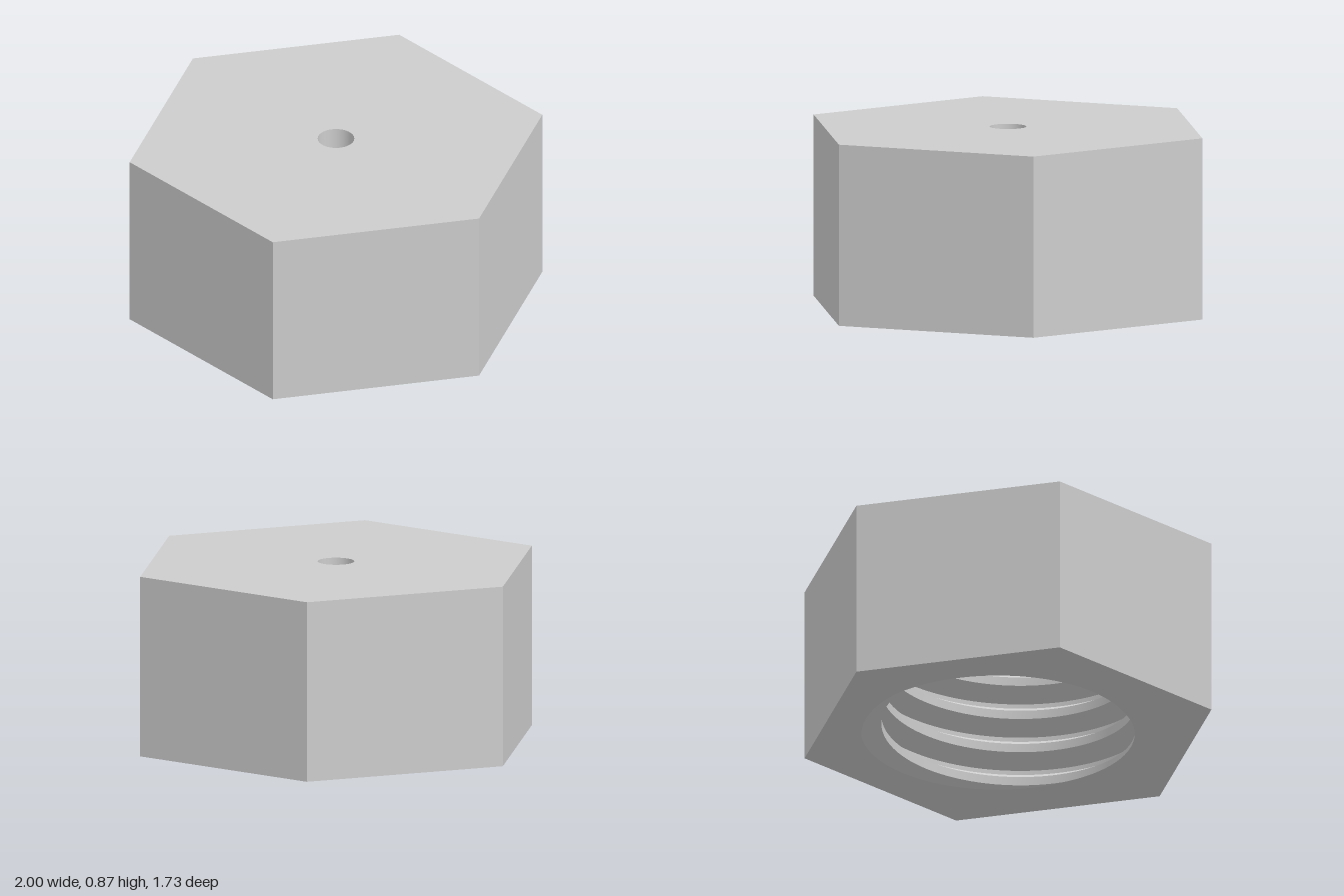
import * as THREE from 'three';
import { toCreasedNormals } from 'three/addons/utils/BufferGeometryUtils.js';

const HEIGHT = 0.866, DEPTH = 0.693;         // nut height, depth of the threaded bore
const BORE = 0.0866;                         // small through hole
const MAJOR = 0.693, PITCH = 0.1732, MINOR = MAJOR - 0.541 * PITCH;
const START = 0.13, PHASE = -130 * Math.PI / 180;
const SEG = 120;

// One pitch of the thread: [fraction of pitch, radius]
const PROFILE = [[0, MINOR], [0.25, MINOR], [0.5625, MAJOR], [0.6875, MAJOR], [1, MINOR]];

const lift = (t) => START + PITCH * (t - PHASE) / (2 * Math.PI);
const angle = (j) => j / SEG * Math.PI * 2;

// Thread radius at an angle and height
function threadRadius(t, y) {
  const turns = (y - lift(t)) / PITCH;
  const f = turns - Math.floor(turns);
  let i = 0;
  while (i < 3 && f > PROFILE[i + 1][0]) i++;
  const [f0, r0] = PROFILE[i], [f1, r1] = PROFILE[i + 1];
  return r0 + (r1 - r0) * (f - f0) / (f1 - f0);
}

// Helical wall whose rows follow the thread edges, clipped to the bore
function threadGeometry() {
  const rows = [], pos = [];
  for (let k = -6; k < 8; k++) {
    for (let i = 0; i < 4; i++) {
      const step = (PROFILE[i + 1][0] - PROFILE[i][0]) / 2;
      rows.push((k + PROFILE[i][0]) * PITCH, (k + PROFILE[i][0] + step) * PITCH);
    }
  }
  const point = (t, row) => {
    const y = THREE.MathUtils.clamp(lift(t) + row, 0, DEPTH);
    const r = threadRadius(t, y);
    return new THREE.Vector3(r * Math.cos(t), y, -r * Math.sin(t));
  };
  const tri = (a, b, c) => {
    const area = b.clone().sub(a).cross(c.clone().sub(a)).length();
    if (area > 1e-9) pos.push(...a.toArray(), ...b.toArray(), ...c.toArray());
  };
  for (let j = 0; j < SEG; j++) {
    const t0 = angle(j), t1 = angle(j + 1);
    for (let i = 0; i < rows.length - 1; i++) {
      const a = point(t0, rows[i]), b = point(t1, rows[i]);
      const c = point(t0, rows[i + 1]), d = point(t1, rows[i + 1]);
      tri(a, c, b);
      tri(b, c, d);
    }
  }
  const geo = new THREE.BufferGeometry();
  geo.setAttribute('position', new THREE.Float32BufferAttribute(pos, 3));
  return toCreasedNormals(geo, 0.4);
}

// Closed outline from a radius rule, clockwise in shape space
const ring = (radius, n = SEG) => Array.from({ length: n }, (_, j) => {
  const t = j / n * Math.PI * 2, r = radius(t);
  return new THREE.Vector2(r * Math.cos(t), -r * Math.sin(t));
});

// Flat plate with a hole, facing up or down
function plate(outline, hole, y, up) {
  const shape = new THREE.Shape(outline);
  shape.holes.push(new THREE.Path(hole));
  const geo = new THREE.ShapeGeometry(shape);
  geo.rotateX(up ? -Math.PI / 2 : Math.PI / 2);
  return geo.translate(0, y, 0);
}

export function createModel() {
  const group = new THREE.Group();
  group.name = 'hexCapNut';
  const steel = new THREE.MeshStandardMaterial({ color: 0xcccccc });
  steel.name = 'steel grey';
  const add = (name, geo) => {
    const mesh = new THREE.Mesh(geo, steel);
    mesh.name = name;
    group.add(mesh);
  };

  const hexagon = ring(() => 1, 6);
  const boreCircle = ring(() => BORE);

  // Six flat sides with corners on the x axis
  const sides = new THREE.CylinderGeometry(1, 1, HEIGHT, 6, 1, true)
    .rotateY(Math.PI / 6).translate(0, HEIGHT / 2, 0).toNonIndexed();
  sides.computeVertexNormals();
  add('hexSides', sides);

  // The thread runs out through the bottom face, so its rim is not a true circle
  add('topFace', plate(hexagon, boreCircle, HEIGHT, true));
  add('bottomFace', plate(hexagon, ring((t) => threadRadius(t, 0)), 0, false));

  // Inside: thread, bore ceiling and through hole
  add('internalThread', threadGeometry());
  add('boreCeiling', plate(ring((t) => threadRadius(t, DEPTH)), boreCircle, DEPTH, false));
  add('throughHole', new THREE.LatheGeometry(
    [new THREE.Vector2(BORE, HEIGHT), new THREE.Vector2(BORE, DEPTH)], SEG));

  return group;
}
